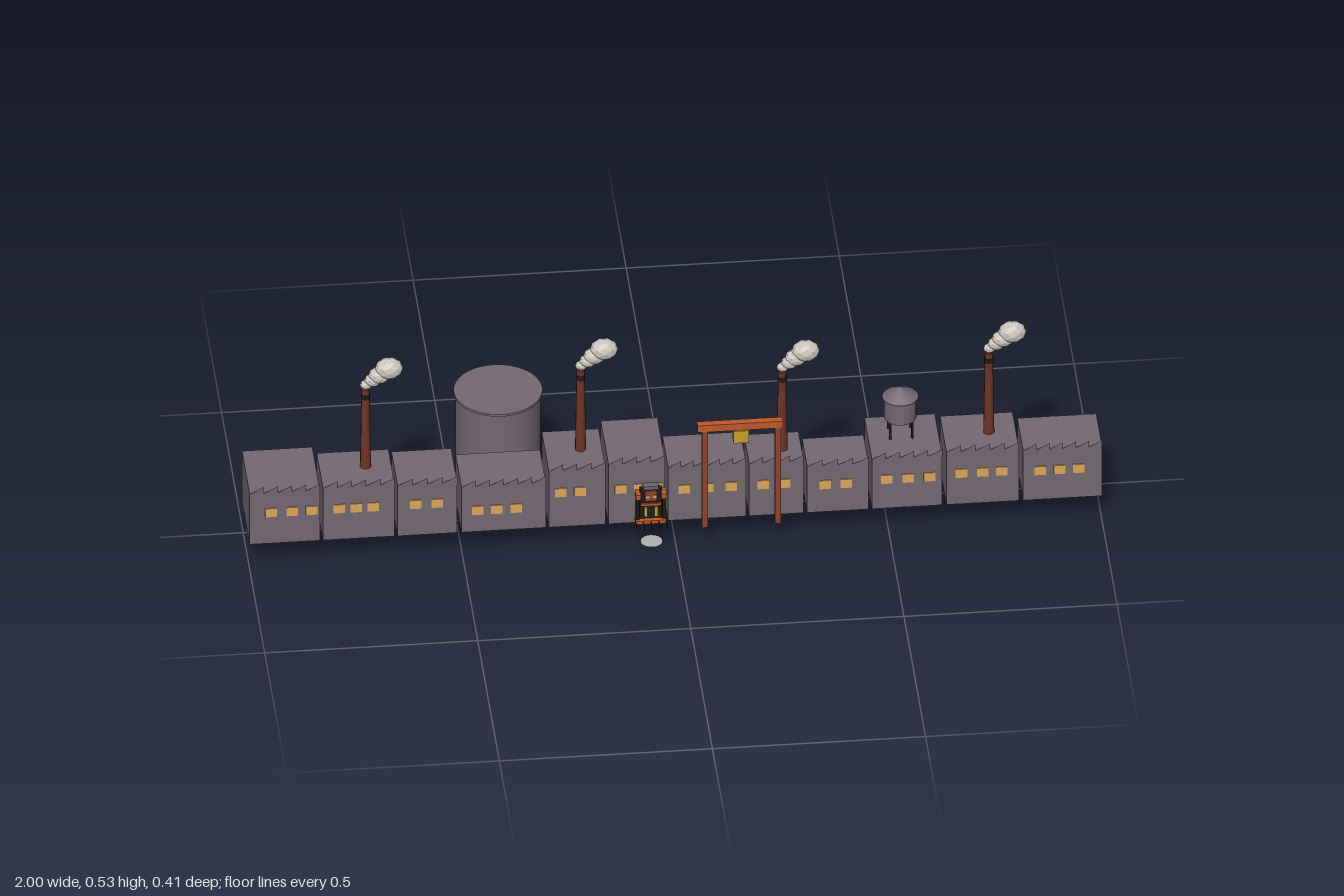
import * as THREE from 'three';

const mat = (name, color, extra = {}) => new THREE.MeshStandardMaterial({ name, color, ...extra });

export function createModel() {
  const root = new THREE.Group();
  root.name = 'factoryRow';
  const wall = mat('wallGrey', 0x756872);
  const facade = mat('roofTeethGrey', 0x756872, { side: THREE.DoubleSide });
  const glow = mat('windowAmber', 0xdca75a);
  const brick = mat('chimneyBrick', 0x6f3427);
  const black = mat('soot', 0x1f1c1c);
  const smoke = mat('smoke', 0xc9c6bf, { flatShading: true });
  const orange = mat('craneOrange', 0xc05a2c);
  const rust = mat('rustPost', 0x8f452c);
  const yellow = mat('hoistYellow', 0xc4a02a);
  const pale = mat('paleDisc', 0xb4b2b0, { side: THREE.DoubleSide });

  const add = (parent, name, geo, m, x = 0, y = 0, z = 0) => {
    const mesh = new THREE.Mesh(geo, m);
    mesh.name = name;
    mesh.position.set(x, y, z);
    parent.add(mesh);
    return mesh;
  };
  // Box given by its minimum and maximum corners
  const span = (parent, name, m, x0, x1, y0, y1, z0, z1) =>
    add(parent, name, new THREE.BoxGeometry(x1 - x0, y1 - y0, z1 - z0), m, (x0 + x1) / 2, (y0 + y1) / 2, (z0 + z1) / 2);
  const group = (name, x = 0, y = 0, z = 0) => {
    const g = new THREE.Group();
    g.name = name;
    g.position.set(x, y, z);
    root.add(g);
    return g;
  };
  const cyl = (r0, r1, h, n = 16) => new THREE.CylinderGeometry(r0, r1, h, n);

  const BASE = 0.07, FRONT = 0.152;

  // Sheds: left x, right x, roof height, back z, window height, window x positions
  const sheds = [
    [-1, -0.835, 0.212, -0.028, 0.157, [-0.935, -0.885, -0.84 - 0.005]],
    [-0.828, -0.66, 0.217, 0.006, 0.157, [-0.79, -0.75, -0.705]],
    [-0.653, -0.513, 0.212, 0.01, 0.157, [-0.61, -0.56]],
    [-0.503, -0.305, 0.197, 0.015, 0.13, [-0.465, -0.415, -0.39 + 0.005]],
    [-0.298, -0.165, 0.228, -0.013, 0.167, [-0.27, -0.225]],
    [-0.158, -0.025, 0.238, -0.03, 0.167, [-0.13, -0.085, -0.045]],
    [-0.018, 0.165, 0.219, 0.02, 0.157, [0.02, 0.075, 0.13]],
    [0.172, 0.3, 0.217, 0.03, 0.157, [0.205, 0.255]],
    [0.308, 0.452, 0.2, 0.035, 0.147, [0.35, 0.4]],
    [0.46, 0.625, 0.21, -0.022, 0.152, [0.495, 0.545, 0.595]],
    [0.635, 0.805, 0.218, 0.001, 0.157, [0.67, 0.72, 0.765]],
    [0.815, 1, 0.21, 0.016, 0.152, [0.855, 0.9, 0.945]],
  ];
  // Even window spacing on the wider sheds
  sheds[0][5] = [-0.94, -0.89, -0.845].map((x) => x - 0.01);
  sheds[1][5] = [-0.79, -0.75, -0.71];
  sheds[3][5] = [-0.465, -0.42, -0.375];
  for (const [x0, x1, top, back, wy, windows] of sheds) {
    const g = group('shed');
    span(g, 'shedWalls', wall, x0, x1, BASE, top, back, FRONT);
    // Thin saw-tooth parapet along the front edge
    const n = Math.round((x1 - x0) / 0.033), w = (x1 - x0) / n;
    const s = new THREE.Shape();
    s.moveTo(x0, top - 0.004);
    for (let i = 0; i < n; i++) {
      s.lineTo(x0 + i * w, top);
      s.lineTo(x0 + (i + 1) * w, top + 0.018);
    }
    s.lineTo(x1, top - 0.004);
    add(g, 'sawToothParapet', new THREE.ShapeGeometry(s), facade, 0, 0, FRONT + 0.0005);
    for (const x of windows) span(g, 'window', glow, x - 0.0135, x + 0.0135, wy - 0.012, wy + 0.012, FRONT, FRONT + 0.002);
  }

  // Chimneys with soot band and drifting smoke: x, top, z
  const puffs = [[0.002, 0.018, 0.013], [0.018, 0.03, 0.018], [0.033, 0.043, 0.023], [0.055, 0.06, 0.029]];
  for (const [x, top, z] of [[-0.72, 0.435, 0.07], [-0.215, 0.452, 0.066], [0.255, 0.435, 0.095], [0.742, 0.442, 0.076]]) {
    const g = group('chimney', x, 0, z);
    add(g, 'chimneyStack', cyl(0.0095, 0.0135, top - 0.2, 10), brick, 0, (top + 0.2) / 2, 0);
    add(g, 'chimneyBand', cyl(0.0112, 0.0112, 0.012, 10), black, 0, top - 0.02, 0);
    for (const [dx, dy, r] of puffs) {
      const p = add(g, 'smokePuff', new THREE.IcosahedronGeometry(r, 1), smoke, dx, top + dy - 0.006, 0);
      p.scale.set(1.15, 0.92, 0.9);
    }
  }

  // Large storage tank at the back
  const tank = group('storageTank', -0.392, 0, -0.1);
  add(tank, 'tankBody', cyl(0.1, 0.1, 0.222, 32), wall, 0, 0.181, 0);
  add(tank, 'tankRim', cyl(0.104, 0.104, 0.006, 32), wall, 0, 0.292, 0);

  // Roof water tower
  const tower = group('waterTower', 0.537, 0, 0.05);
  add(tower, 'towerTank', cyl(0.038, 0.038, 0.058, 16), wall, 0, 0.286, 0);
  add(tower, 'towerRoof', new THREE.ConeGeometry(0.043, 0.026, 16), wall, 0, 0.328, 0);
  for (const sx of [-1, 1]) for (const sz of [-1, 1])
    add(tower, 'towerLeg', cyl(0.003, 0.003, 0.055, 6), black, sx * 0.026, 0.232, sz * 0.022);

  // Gantry crane
  const crane = group('gantryCrane');
  for (const x of [0.065, 0.236]) span(crane, 'cranePost', rust, x - 0.007, x + 0.007, BASE, 0.343, 0.176, 0.19);
  span(crane, 'craneBeam', orange, 0.047, 0.247, 0.341, 0.36, 0.174, 0.192);
  span(crane, 'craneHoist', yellow, 0.131, 0.167, 0.307, 0.341, 0.171, 0.195);

  // Small loading machine in front of the tall shed
  const m = group('loadingMachine', -0.06, 0, 0);
  span(m, 'machineBody', black, -0.026, 0.026, 0.09, 0.172, 0.15, 0.166);
  span(m, 'machineCap', wall, -0.018, 0.018, 0.172, 0.18, 0.148, 0.168);
  span(m, 'machineHead', rust, -0.014, 0.014, 0.14, 0.168, 0.166, 0.17);
  span(m, 'machineBase', orange, -0.036, 0.036, 0.077, 0.086, 0.153, 0.172);
  for (const s of [-1, 1]) {
    span(m, 'machineShoulder', orange, s * 0.03 - 0.006, s * 0.03 + 0.006, 0.15, 0.164, 0.152, 0.178);
    span(m, 'machineArm', black, s * 0.031 - 0.004, s * 0.031 + 0.004, 0.09, 0.15, 0.155, 0.172);
    span(m, 'machineLamp', glow, s * 0.008 - 0.004, s * 0.008 + 0.004, 0.15, 0.157, 0.17, 0.172);
    span(m, 'machineStripe', yellow, s * 0.012 - 0.004, s * 0.012 + 0.004, 0.096, 0.122, 0.166, 0.17);
  }
  span(m, 'machineBelt', orange, -0.024, 0.024, 0.126, 0.133, 0.166, 0.17);
  // Floor rails and hanging weight
  for (let i = -2; i <= 2; i++) span(m, 'floorRail', black, i * 0.018 - 0.001, i * 0.018 + 0.001, 0.082, 0.084, 0.15, 0.205);
  add(m, 'hangingWeight', new THREE.ConeGeometry(0.004, 0.008, 6), black, 0.002, 0.064, 0.13);

  // Pale ground disc
  const disc = add(root, 'groundDisc', new THREE.CircleGeometry(0.026, 24), pale, -0.055, 0, 0.13);
  disc.rotation.x = -Math.PI / 2;
  return root;
}
